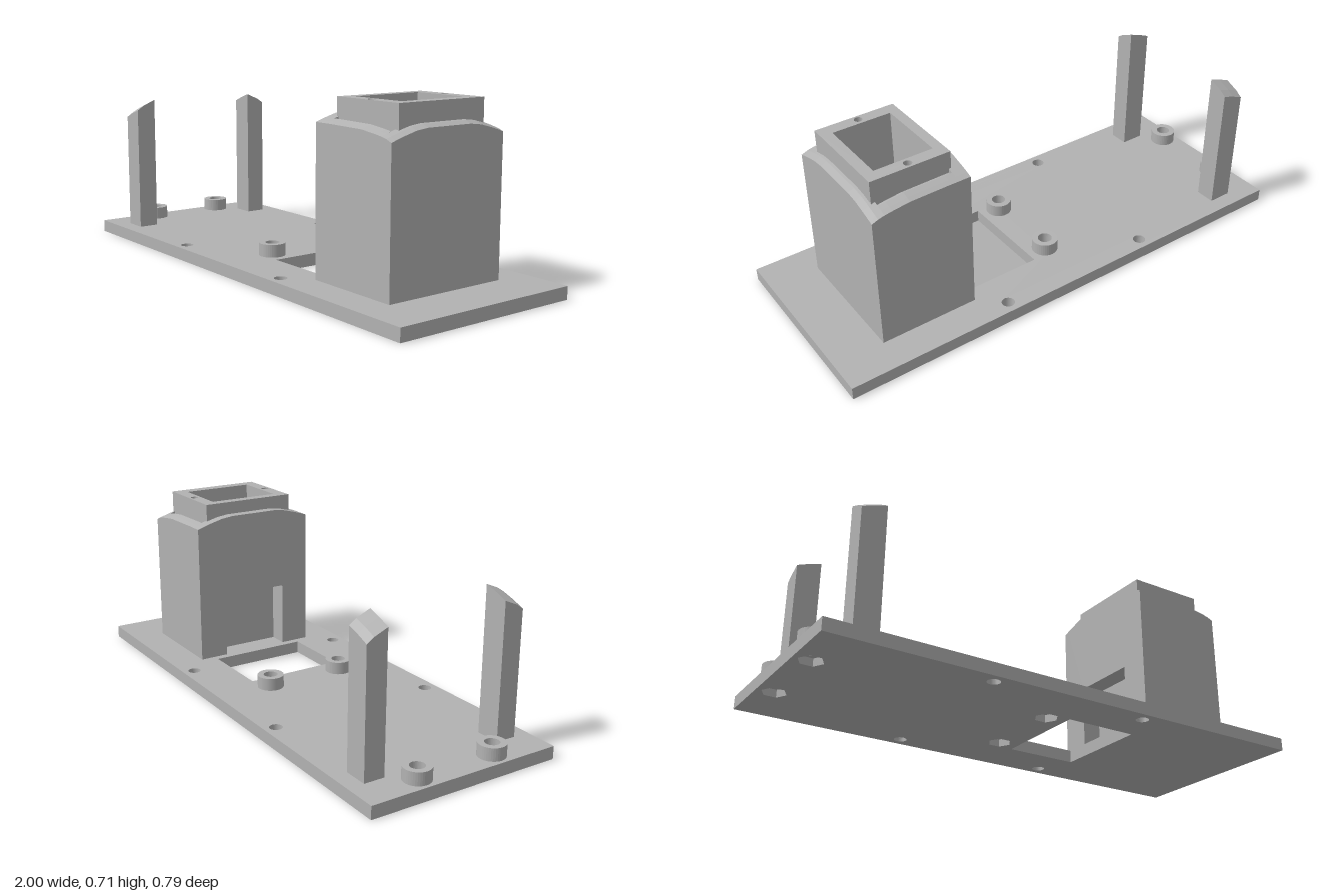
import * as THREE from 'three';

const grey = new THREE.MeshStandardMaterial({ color: 0xb2b2b2 });
grey.name = 'grey plastic';

function poly(points) {
  return new THREE.Shape(points.map(([x, y]) => new THREE.Vector2(x, y)));
}

function rect(x0, x1, y0, y1) {
  return poly([[x0, y0], [x1, y0], [x1, y1], [x0, y1]]);
}

function circle(x, y, r) {
  return new THREE.Shape().absarc(x, y, r, 0, Math.PI * 2, false);
}

function hexagon(x, y, r) {
  return poly([0, 1, 2, 3, 4, 5].map((i) => [
    x + r * Math.cos((i * Math.PI) / 3), y + r * Math.sin((i * Math.PI) / 3)]));
}

// Extrude a plan outline upward from y0 to y1
function layer(name, outline, holes, y0, y1) {
  outline.holes.push(...holes);
  const geo = new THREE.ExtrudeGeometry(outline, { depth: y1 - y0, bevelEnabled: false, curveSegments: 20 });
  geo.rotateX(-Math.PI / 2).translate(0, y0, 0);
  const mesh = new THREE.Mesh(geo, grey);
  mesh.name = name;
  return mesh;
}

// Extrude a (z, y) section from x0 to x1, lowering its upper points by a drop at each end
function slab(name, section, x0, x1, drop0, drop1) {
  const geo = new THREE.ExtrudeGeometry(poly(section.map(([z, y]) => [-z, y])), { depth: x1 - x0, bevelEnabled: false });
  geo.rotateY(Math.PI / 2).translate(x0, 0, 0);
  const p = geo.attributes.position;
  const mid = (x0 + x1) / 2;
  for (let i = 0; i < p.count; i++) {
    if (p.getY(i) > 0.45) p.setY(i, p.getY(i) - (p.getX(i) < mid ? drop0 : drop1));
  }
  geo.computeVertexNormals();
  const mesh = new THREE.Mesh(geo, grey);
  mesh.name = name;
  return mesh;
}

// Half of the tower section from the middle outward, as (z, y), with optional cut-outs
function towerSection({ door, moat, cavity }) {
  const half = cavity
    ? [[0, 0.35], [0.147, 0.35], [0.147, 0.65]]
    : [[0, 0.655], [0.1, 0.655], [0.15, 0.649]];
  if (moat) half.push([0.198, 0.636], [0.198, 0.62], [0.218, 0.62], [0.218, 0.631]);
  else half.push([0.2, 0.636]);
  half.push([0.24, 0.624], [0.26, 0.617], [0.26, 0.05]);
  if (door) half.push([0.14, 0.05], [0.14, 0.315]);
  const mirrored = half.filter(([z]) => z > 0).map(([z, y]) => [-z, y]).reverse();
  return [...mirrored, ...half];
}

export function createModel() {
  const model = new THREE.Group();
  model.name = 'mountingBase';

  // Base plate in two layers: hexagonal nut pockets below, round bores above
  const bores = [[-0.935, 0.162], [-0.935, -0.162], [0, 0.162], [0, -0.162]];
  const screws = [[-0.345, 0.345], [-0.345, -0.345], [0.31, 0.345], [0.31, -0.345]];
  const common = () => [rect(0.08, 0.375, -0.2, 0.2), ...screws.map(([x, y]) => circle(x, y, 0.025))];
  model.add(layer('plateBottom', rect(-1, 1, -0.393, 0.393),
    [...common(), ...bores.map(([x, y]) => hexagon(x, y, 0.046))], 0, 0.03));
  model.add(layer('plateTop', rect(-1, 1, -0.393, 0.393),
    [...common(), ...bores.map(([x, y]) => circle(x, y, 0.028))], 0.03, 0.05));

  // Ring standoffs
  for (const [x, y] of bores) {
    model.add(layer('standoff', circle(x, y, 0.052), [circle(x, y, 0.028)], 0.05, 0.1));
  }

  // Slanted corner posts
  for (const s of [1, -1]) {
    const section = [[0.246, 0.05], [0.328, 0.05], [0.328, 0.566], [0.3, 0.585], [0.246, 0.608]]
      .map(([z, y]) => [z * s, y]);
    const post = new THREE.Group();
    post.name = s > 0 ? 'frontPost' : 'backPost';
    post.add(slab('postOuter', section, -0.87, -0.82, 0.035, 0.015));
    post.add(slab('postInner', section, -0.82, -0.773, 0.015, 0));
    model.add(post);
  }

  // Tower built from slices along x, with a doorway, a cavity and a curved roof
  const tower = new THREE.Group();
  tower.name = 'tower';
  const slices = [
    [0.405, 0.455, 0, 0, { door: true }],
    [0.455, 0.485, 0, 0, { door: true, moat: true }],
    [0.485, 0.65, 0, 0.003, { cavity: true, moat: true }],
    [0.65, 0.72, 0.003, 0.012, { cavity: true, moat: true }],
    [0.72, 0.75, 0.012, 0.017, { moat: true }],
    [0.75, 0.775, 0.017, 0.023, {}],
    [0.775, 0.8, 0.023, 0.033, {}],
  ];
  for (const [x0, x1, d0, d1, cuts] of slices) {
    tower.add(slab('towerSlice', towerSection(cuts), x0, x1, d0, d1));
  }

  // Square collar with its opening and two screw holes
  tower.add(layer('collar', rect(0.445, 0.765, -0.198, 0.198),
    [rect(0.485, 0.72, -0.147, 0.147), circle(0.602, 0.174, 0.016), circle(0.602, -0.174, 0.016)], 0.6, 0.706));
  model.add(tower);

  return model;
}
